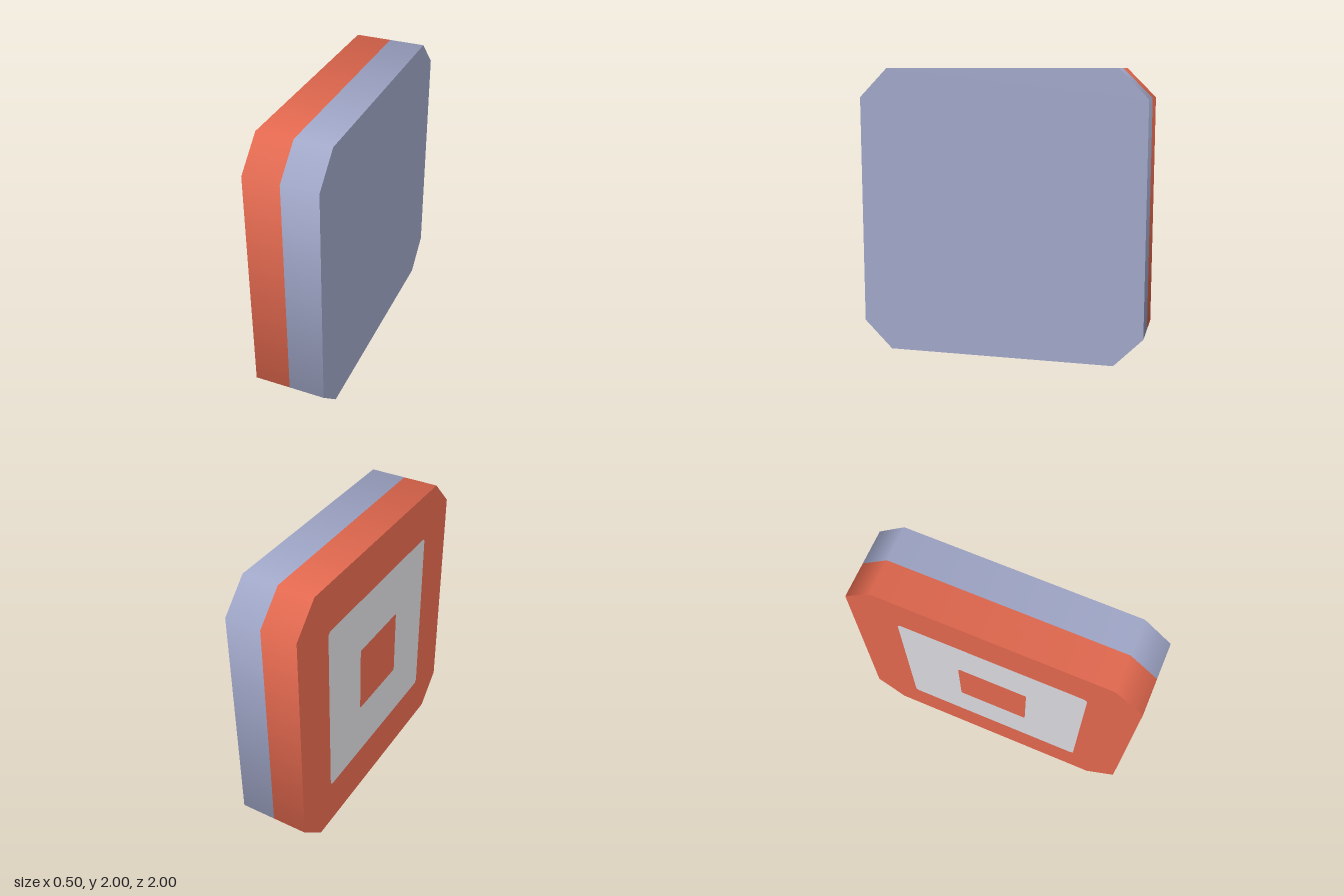
import * as THREE from 'three';

const WIDE = 1, NARROW = 0.8, DEPTH = 0.25;

// Square outline with each corner cut by c
function cutSquare(r, c) {
  const s = r - c;
  return [[r, s], [s, r], [-s, r], [-r, s], [-r, -s], [-s, -r], [s, -r], [r, -s]]
    .map(([x, y]) => new THREE.Vector2(x, y));
}

// Eight-sided rim along x, smooth around the corners
function rimGeometry() {
  const g = new THREE.CylinderGeometry(1, 1, DEPTH, 8, 1, true, Math.PI / 8);
  g.rotateZ(-Math.PI / 2);
  const p = g.attributes.position;
  for (let i = 0; i < p.count; i++) {
    const y = p.getY(i), z = p.getZ(i);
    const tall = Math.abs(y) > Math.abs(z);
    p.setY(i, Math.sign(y) * (tall ? WIDE : NARROW));
    p.setZ(i, Math.sign(z) * (tall ? NARROW : WIDE));
  }
  return g;
}

// Flat face on the side given by dir, with an optional opening
function faceGeometry(outline, hole, dir) {
  const shape = new THREE.Shape(outline);
  if (hole) shape.holes.push(new THREE.Path(hole));
  return new THREE.ShapeGeometry(shape)
    .rotateY(dir * Math.PI / 2)
    .translate(dir * DEPTH, 0, 0);
}

export function createModel() {
  const model = new THREE.Group();
  model.name = 'chamferedTile';

  const mat = (name, color) => {
    const m = new THREE.MeshStandardMaterial({ color });
    m.name = name;
    return m;
  };
  const orange = mat('orange', 0xe2684e);
  const blue = mat('greyBlue', 0xa0a7c8);
  const grey = mat('lightGrey', 0xd9d9de);

  const add = (name, geometry, material, x = 0) => {
    const mesh = new THREE.Mesh(geometry, material);
    mesh.name = name;
    mesh.position.set(x, 1, 0);
    model.add(mesh);
  };

  const outer = cutSquare(WIDE, WIDE - NARROW);
  const frame = cutSquare(0.655, 0.02);
  const centre = cutSquare(0.25, 0.01);

  // Left half
  add('leftRim', rimGeometry(), blue, DEPTH / 2);
  add('leftFace', faceGeometry(outer, null, 1), blue);

  // Right half with a flush square frame
  add('rightRim', rimGeometry(), orange, -DEPTH / 2);
  add('rightFace', faceGeometry(outer, frame, -1), orange);
  add('squareFrame', faceGeometry(frame, centre, -1), grey);
  add('centreSquare', faceGeometry(centre, null, -1), orange);

  return model;
}
